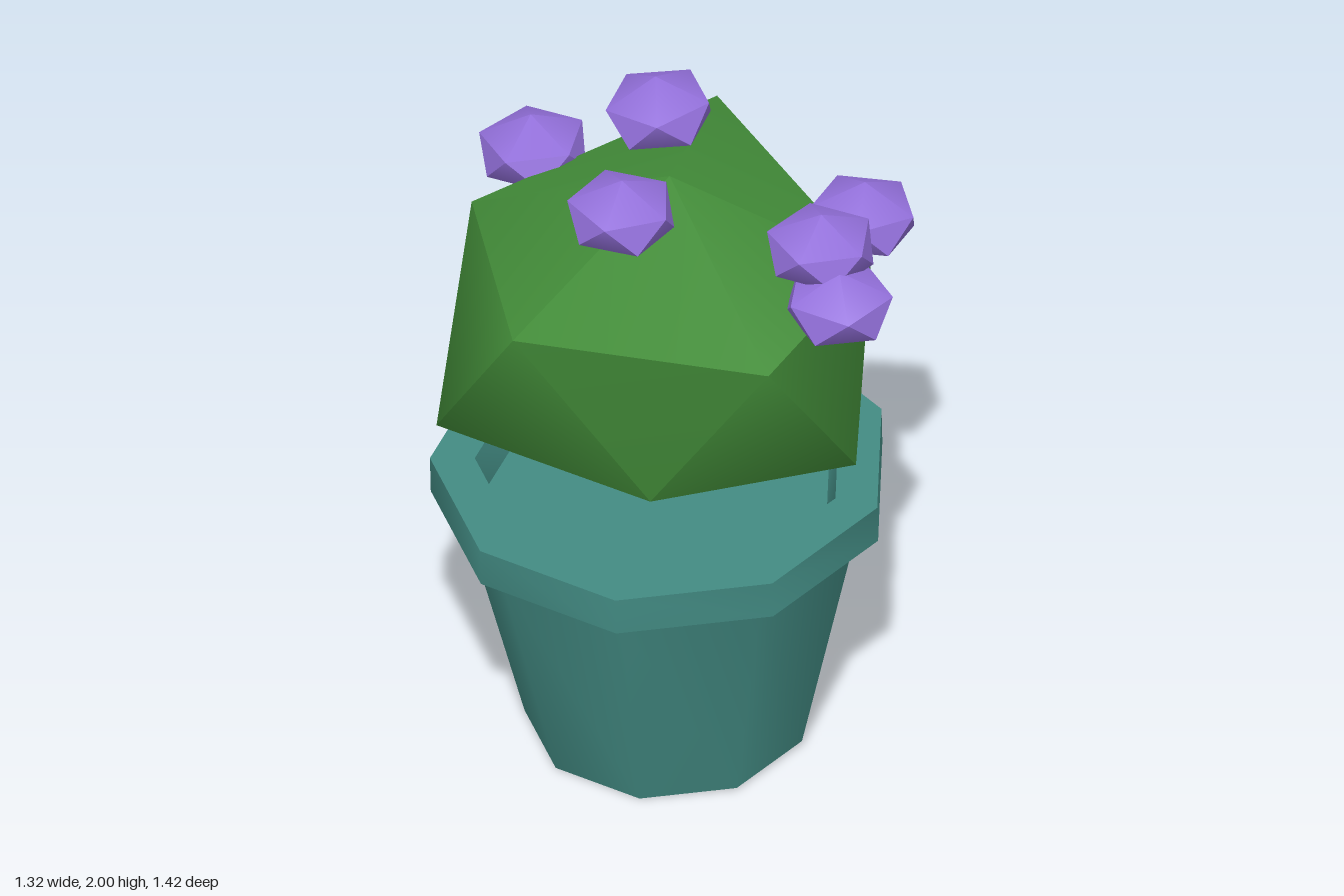
import * as THREE from 'three';
import { toCreasedNormals } from 'three/addons/utils/BufferGeometryUtils.js';

const CREASE = 0.8;

// Twenty-sided solid from a top point, two rings of five and a bottom point.
// Rings run from +x towards +z; lower[i] sits between upper[i] and upper[i + 1].
function twentySided(top, upper, lower, bottom) {
  const positions = [];
  const face = (...corners) => corners.forEach((c) => positions.push(...c));
  for (let i = 0; i < 5; i++) {
    const j = (i + 1) % 5;
    face(top, upper[j], upper[i]);
    face(upper[i], upper[j], lower[i]);
    face(upper[j], lower[j], lower[i]);
    face(bottom, lower[i], lower[j]);
  }
  const geometry = new THREE.BufferGeometry();
  geometry.setAttribute('position', new THREE.Float32BufferAttribute(positions, 3));
  return toCreasedNormals(geometry, CREASE);
}

function ring(radius, y, start) {
  return Array.from({ length: 5 }, (_, i) => {
    const a = start + (i * Math.PI * 2) / 5;
    return [radius * Math.cos(a), y, radius * Math.sin(a)];
  });
}

export function createModel() {
  const model = new THREE.Group();
  model.name = 'pottedCactus';

  const material = (name, color) => {
    const m = new THREE.MeshStandardMaterial({ color });
    m.name = name;
    return m;
  };
  const teal = material('teal pot', 0x428a82);
  const green = material('cactus green', 0x438d39);
  const purple = material('flower purple', 0x9370db);

  const add = (name, geometry, mat) => {
    const mesh = new THREE.Mesh(geometry, mat);
    mesh.name = name;
    model.add(mesh);
    return mesh;
  };

  // Nine-sided pot with a thick rim and a sunken floor, slightly tilted
  const profile = [
    [0, 0], [0.4, 0], [0.575, 0.765], [0.645, 0.78], [0.645, 0.897],
    [0.52, 0.897], [0.49, 0.79], [0, 0.79],
  ].map(([r, y]) => new THREE.Vector2(r, y));
  const potGeometry = new THREE.LatheGeometry(profile, 9, Math.PI / 2);
  const pot = add('pot', toCreasedNormals(potGeometry, CREASE), teal);
  pot.position.set(-0.025, 0.016, 0.044);
  pot.rotation.set(0.025, 0, 0.03);

  // Lopsided faceted cactus body
  add('cactusBody', twentySided(
    [-0.02, 1.865, 0.04],
    [[0.5, 1.58, 0.25], [0.05, 1.62, 0.7], [-0.56, 1.59, 0.28], [-0.45, 1.56, -0.41], [0.32, 1.64, -0.56]],
    [[0.38, 1.08, 0.48], [-0.23, 1.11, 0.5], [-0.66, 1.06, -0.09], [-0.1, 1.05, -0.635], [0.52, 1.09, -0.2]],
    [0, 0.825, 0.05],
  ), green);

  // Flowers: squashed buds, each placed with its own turn and lean
  const bud = twentySided([0, 0.115, 0], ring(0.152, 0.045, 0), ring(0.146, -0.045, Math.PI / 5), [0, -0.115, 0]);
  const flowers = [
    // x, y, z, turn, lean about x, lean about z
    [-0.21, 1.885, 0.19, 0.3, 0, 0],
    [0.05, 1.865, -0.26, 0.6, -0.12, 0.1],
    [0.315, 1.77, 0.37, 0.2, 0, 0],
    [0.325, 1.66, 0.49, 0.8, 0.08, 0],
    [0.515, 1.67, 0.14, 0.5, 0, -0.06],
    [-0.215, 1.575, -0.57, 0.1, -0.08, 0.05],
  ];
  flowers.forEach(([x, y, z, turn, leanX, leanZ], i) => {
    const flower = add(`flower${i + 1}`, bud, purple);
    flower.position.set(x, y, z);
    flower.rotation.set(leanX, turn, leanZ);
  });

  return model;
}
